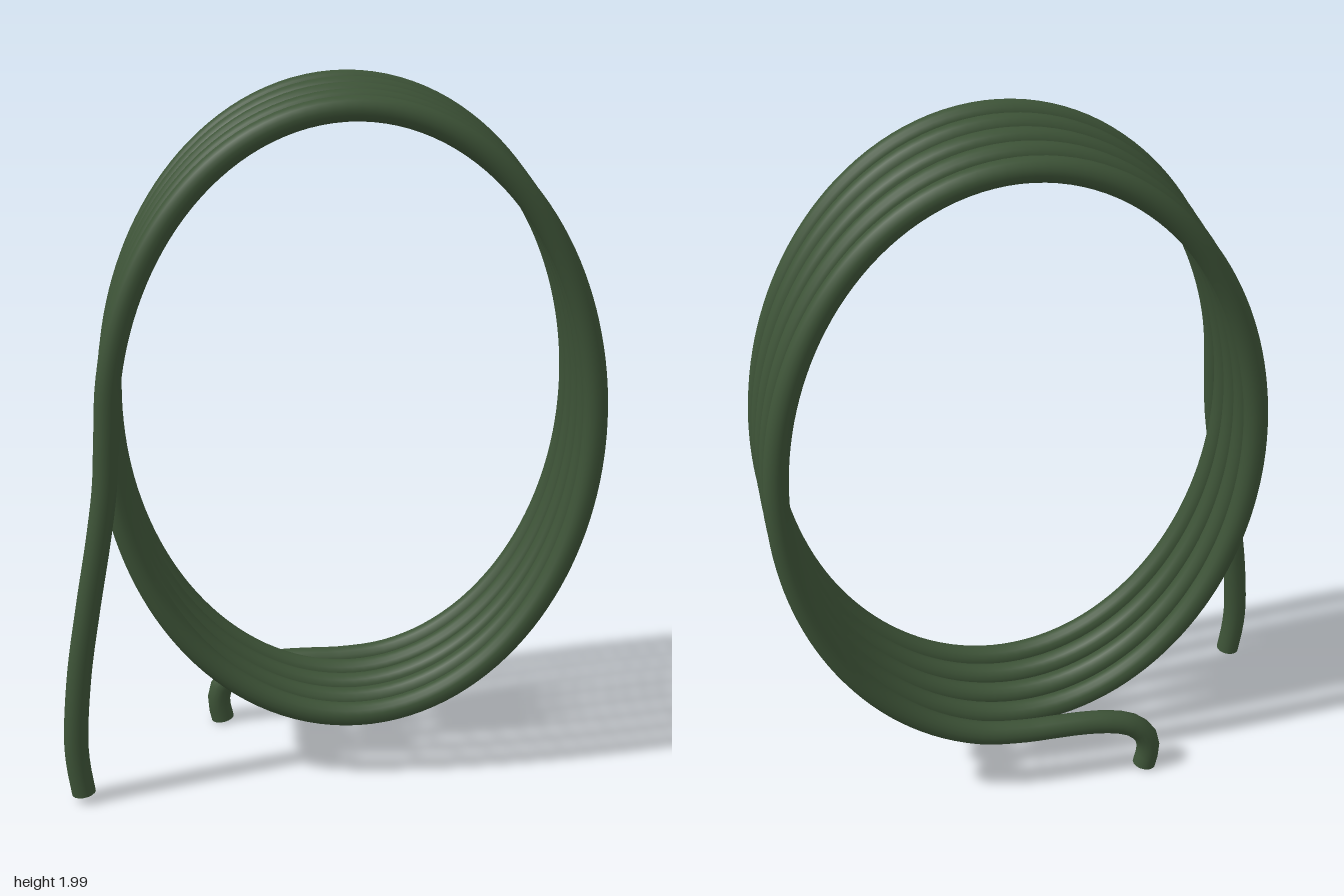
import * as THREE from 'three';

const R = 0.034; // tube radius
const CX = 0.055, CY = 1.085, RX = 0.666, RY = 0.881;
const TURNS = 4.75, PITCH = 0.0915, Z0 = 0.205, STEPS = 32;

export function createModel() {
  const group = new THREE.Group();
  const green = new THREE.MeshStandardMaterial({ color: 0x3d5337 });
  green.name = 'dark green';

  // Front tail, from its lower end up to the coil's left side
  const points = [
    [-0.712, 0.031, 0.228], [-0.724, 0.12, 0.227], [-0.727, 0.2, 0.226], [-0.71, 0.4, 0.222],
    [-0.678, 0.6, 0.217], [-0.642, 0.8, 0.212], [-0.62, 0.95, 0.208],
  ].map(p => new THREE.Vector3(...p));

  // Oval coil, running left, top, right, bottom and stepping backward
  const n = TURNS * STEPS;
  for (let i = 0; i <= n; i++) {
    const t = i / STEPS, a = Math.PI - t * Math.PI * 2;
    points.push(new THREE.Vector3(
      CX + RX * Math.cos(a), CY + RY * Math.sin(a), Math.max(Z0 - PITCH * t, -0.227)));
  }

  // Rear tail, leaving the bottom of the coil and curling down
  for (const [x, y] of [[-0.04, 0.203], [-0.12, 0.201], [-0.2, 0.191], [-0.265, 0.168],
    [-0.307, 0.125], [-0.319, 0.075], [-0.308, 0.013]]) {
    points.push(new THREE.Vector3(x, y, -0.227));
  }

  const curve = new THREE.CatmullRomCurve3(points, false, 'centripetal');
  curve.arcLengthDivisions = 2000;
  const coil = new THREE.Mesh(new THREE.TubeGeometry(curve, 700, R, 16), green);
  coil.name = 'coiledTube';
  group.add(coil);

  // Flat caps on both ends
  for (const [name, u, dir] of [['frontEndCap', 0, -1], ['rearEndCap', 1, 1]]) {
    const cap = new THREE.Mesh(new THREE.CircleGeometry(R, 16), green);
    cap.name = name;
    cap.position.copy(curve.getPointAt(u));
    cap.quaternion.setFromUnitVectors(
      new THREE.Vector3(0, 0, 1), curve.getTangentAt(u).multiplyScalar(dir));
    group.add(cap);
  }
  return group;
}
